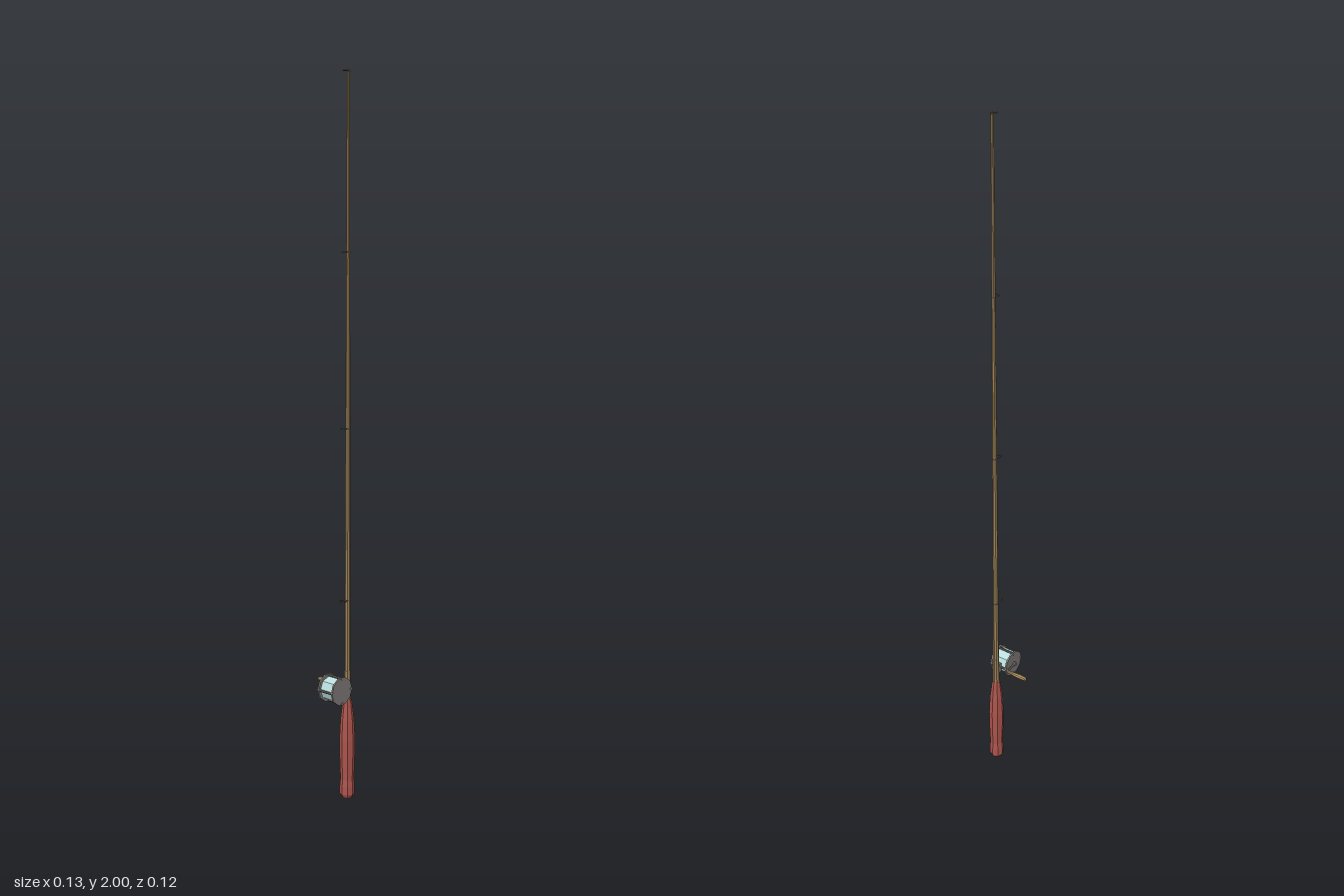
import * as THREE from 'three';

const mat = (name, color) => {
  const m = new THREE.MeshStandardMaterial({ color, flatShading: true });
  m.name = name;
  return m;
};

export function createModel() {
  const red = mat('red wood', 0xab544c);
  const cane = mat('cane', 0x9a8058);
  const tan = mat('tan wood', 0xb3955f);
  const dark = mat('dark metal', 0x615c5c);
  const grey = mat('grey metal', 0x807979);
  const cyan = mat('pale line', 0xb9dcdc);

  const model = new THREE.Group();
  model.name = 'fishingRod';

  const add = (parent, name, geo, material, x = 0, y = 0, z = 0) => {
    const mesh = new THREE.Mesh(geo, material);
    mesh.name = name;
    mesh.position.set(x, y, z);
    parent.add(mesh);
    return mesh;
  };
  const lathe = (pts, sides) => new THREE.LatheGeometry(pts.map(p => new THREE.Vector2(...p)), sides);
  // cylinder lying along x
  const axle = (r, len, sides) => new THREE.CylinderGeometry(r, r, len, sides).rotateZ(Math.PI / 2);

  // Rod: grip, seat, tapering cane
  const rod = new THREE.Group();
  rod.name = 'rod';
  rod.position.set(0.032, 0, -0.037);
  model.add(rod);
  add(rod, 'handle', lathe([[0, 0], [0.015, 0.001], [0.021, 0.012], [0.021, 0.035], [0.019, 0.055],
    [0.021, 0.11], [0.022, 0.17], [0.019, 0.23], [0.013, 0.28], [0.011, 0.288], [0, 0.288]], 8), red);
  add(rod, 'reelSeat', new THREE.CylinderGeometry(0.009, 0.01, 0.085, 8), cane, 0, 0.328);
  add(rod, 'blank', lathe([[0.0088, 0.29], [0.0079, 0.57], [0.0067, 1.05], [0.0053, 1.525],
    [0.004, 1.998], [0, 1.999]], 8), cane);

  // Line guides: a wrap on the rod and a ring in front
  [[0.572, 0.0095, 0.0079], [1.052, 0.0085, 0.0067], [1.527, 0.0075, 0.0053], [1.997, 0.0065, 0.004]]
    .forEach(([y, r, rodR]) => {
      const guide = new THREE.Group();
      guide.name = 'lineGuide';
      guide.position.y = y;
      rod.add(guide);
      add(guide, 'guideWrap', new THREE.CylinderGeometry(rodR + 0.001, rodR + 0.001, 0.004, 8), dark);
      add(guide, 'guideRing', new THREE.TorusGeometry(r, 0.0015, 4, 10).rotateX(Math.PI / 2), dark,
        0, 0, rodR + r + 0.001);
    });

  // Reel: spool between two plates, joined by capped pillars
  const reel = new THREE.Group();
  reel.name = 'reel';
  reel.position.set(0.0345, 0.329, 0.0165);
  model.add(reel);
  add(reel, 'spool', axle(0.033, 0.048, 8), cyan);
  for (const s of [-1, 1]) add(reel, 'sidePlate', axle(0.04, 0.005, 10), grey, s * 0.0255);
  for (let i = 0; i < 4; i++) {
    const a = i * Math.PI / 2;
    const y = 0.036 * Math.sin(a), z = 0.036 * Math.cos(a);
    add(reel, 'pillar', axle(0.0035, 0.05, 6), dark, 0, y, z);
    for (const s of [-1, 1]) add(reel, 'pillarCap', axle(0.0045, 0.003, 6), grey, s * 0.028, y, z);
  }
  add(reel, 'reelFoot', new THREE.BoxGeometry(0.012, 0.03, 0.01), grey, -0.0025, 0, -0.04);

  // Crank with turned wooden grip
  add(reel, 'crankHub', axle(0.006, 0.009, 8), grey, -0.0315);
  add(reel, 'crankArm', new THREE.BoxGeometry(0.003, 0.007, 0.048), grey, -0.0335, 0, -0.02);
  const grip = add(reel, 'crankGrip', lathe([[0, 0], [0.004, 0], [0.0045, 0.012], [0.006, 0.026],
    [0.007, 0.042], [0.006, 0.065], [0, 0.066]], 8), tan, -0.0345, 0, -0.041);
  grip.rotation.z = Math.PI / 2;

  return model;
}
